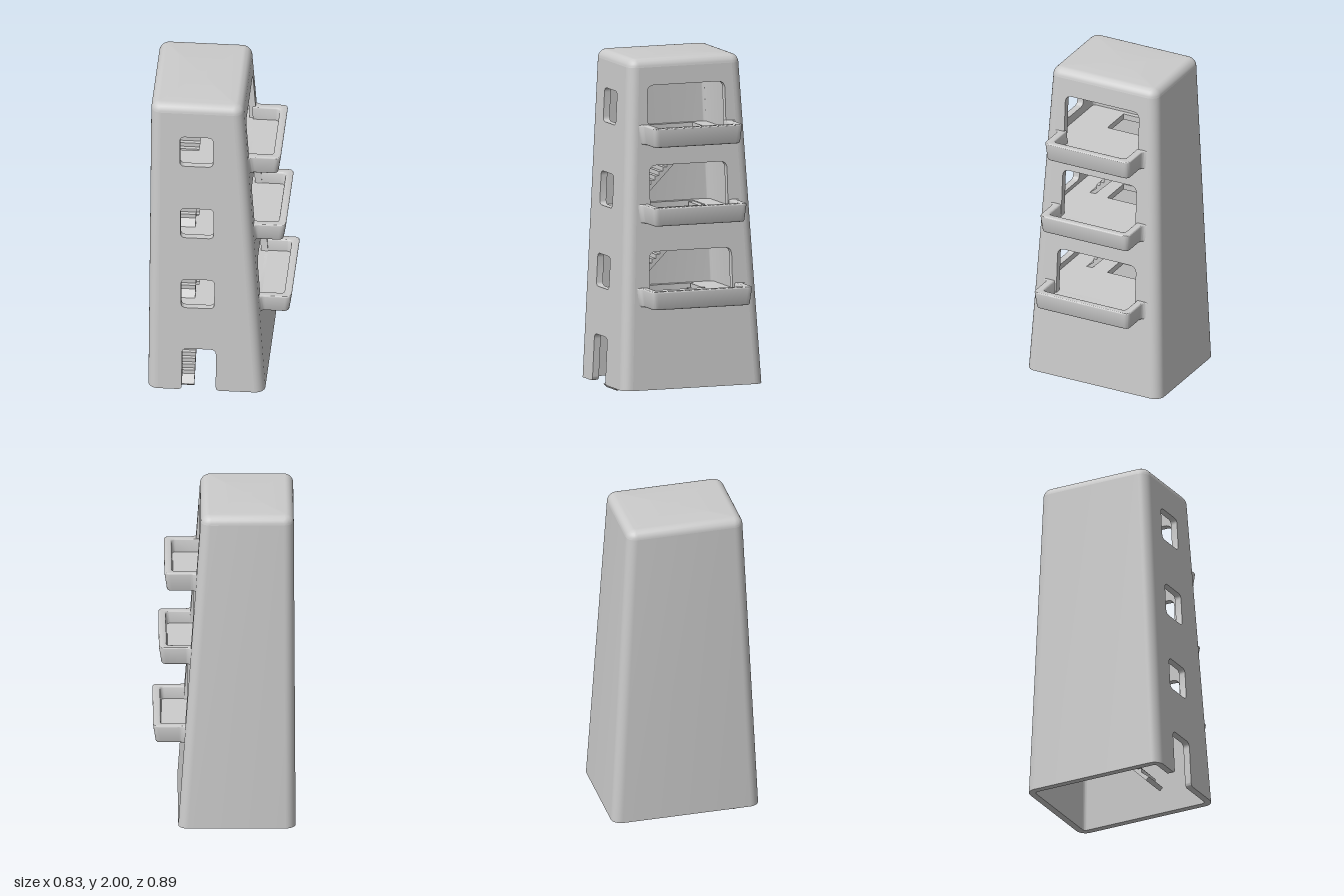
import * as THREE from 'three';
import { toCreasedNormals } from 'three/addons/utils/BufferGeometryUtils.js';

const Y0 = 0.06, Y1 = 1.95, FILLET = 0.05, R = 0.06, T = 0.04;
const mat = new THREE.MeshStandardMaterial({ color: 0xcccccc });

// Tapered wall positions at height y
const rise = y => (y - Y0) / (2 - Y0);
const xRight = y => 0.267 - 0.135 * rise(y);
const xLeft = y => -0.42 + 0.01 * rise(y);
const zFront = y => 0.445 - 0.095 * rise(y);

function add(parent, name, geo, crease = 0.6) {
  const mesh = new THREE.Mesh(toCreasedNormals(geo, crease), mat);
  mesh.name = name;
  parent.add(mesh);
  return mesh;
}

// Moves every vertex by a rule
function remap(geo, rule) {
  const p = geo.attributes.position;
  for (let i = 0; i < p.count; i++) p.setXYZ(i, ...rule(p.getX(i), p.getY(i), p.getZ(i)));
  geo.computeVertexNormals();
  return geo;
}

// Corner arcs of the plan: 0 front right, 1 back right, 2 back left, 3 front left
function ring(y, inset, corners) {
  const pts = [];
  for (const k of corners) {
    const cx = k < 2 ? xRight(y) - R : xLeft(y) + R;
    const cz = (k === 0 || k === 3 ? 1 : -1) * (zFront(y) - R);
    for (let i = 0; i <= 8; i++) {
      const a = Math.PI / 2 * (1 - k - i / 8);
      pts.push([cx + (R - inset) * Math.cos(a), y, cz + (R - inset) * Math.sin(a)]);
    }
  }
  if (corners.length === 4) pts.push(pts[0]);
  return pts;
}

// Skin over equal-length rows of points
function skin(rows) {
  const n = rows[0].length, index = [];
  for (let i = 0; i < rows.length - 1; i++) {
    for (let j = 0; j < n - 1; j++) {
      const a = i * n + j, b = a + n;
      index.push(a, a + 1, b + 1, a, b + 1, b);
    }
  }
  const geo = new THREE.BufferGeometry();
  geo.setAttribute('position', new THREE.Float32BufferAttribute(rows.flat(2), 3));
  geo.setIndex(index);
  geo.computeVertexNormals();
  return geo;
}

// Window outline with separate top and bottom corner radii
function windowHole(x0, x1, y0, y1, rt, rb) {
  const p = new THREE.Path();
  p.moveTo(x0 + rb, y0).lineTo(x1 - rb, y0).quadraticCurveTo(x1, y0, x1, y0 + rb);
  p.lineTo(x1, y1 - rt).quadraticCurveTo(x1, y1, x1 - rt, y1);
  p.lineTo(x0 + rt, y1).quadraticCurveTo(x0, y1, x0, y1 - rt);
  p.lineTo(x0, y0 + rb).quadraticCurveTo(x0, y0, x0 + rb, y0);
  return p;
}

const extrude = (shape, depth) =>
  new THREE.ExtrudeGeometry(shape, { depth, bevelEnabled: false, curveSegments: 6 });

const levels = [
  { y: 0.55, top: 0.66, half: 0.318, winTop: 0.87, winHalf: 0.26 },
  { y: 1.04, top: 1.15, half: 0.297, winTop: 1.375, winHalf: 0.245 },
  { y: 1.50, top: 1.615, half: 0.282, winTop: 1.845, winHalf: 0.245 },
];
const FLOOR = 0.035;

function buildShell(group) {
  // Rounded corners, with the plain back and left walls between them
  const strip = c => skin([ring(Y1, T, c), ring(Y0, T, c), ring(Y0, 0, c), ring(Y1, 0, c)]);
  add(group, 'frontRightCorner', strip([0]));
  add(group, 'backAndLeftWalls', strip([1, 2, 3]));

  // Rounded roof and flat ceiling
  const all = [0, 1, 2, 3], roof = [];
  for (let i = 0; i <= 8; i++) {
    const a = Math.PI / 2 * i / 8;
    roof.push(ring(Y1 + FILLET * Math.sin(a), FILLET * (1 - Math.cos(a)), all));
  }
  const centre = y => roof[0].map(() => [-0.14, y, 0]);
  add(group, 'roof', skin([...roof, centre(2)]));
  add(group, 'ceiling', skin([centre(Y1), ring(Y1, T, all)]));

  // Front wall with doorway and three windows
  const front = new THREE.Shape();
  front.moveTo(xLeft(Y0) + R, Y0).lineTo(-0.245, Y0);
  front.quadraticCurveTo(-0.22, Y0, -0.22, Y0 + 0.025).lineTo(-0.22, 0.305);
  front.quadraticCurveTo(-0.22, 0.34, -0.185, 0.34).lineTo(-0.055, 0.34);
  front.quadraticCurveTo(-0.02, 0.34, -0.02, 0.305).lineTo(-0.02, Y0 + 0.025);
  front.quadraticCurveTo(-0.02, Y0, 0.005, Y0).lineTo(xRight(Y0) - R, Y0);
  front.lineTo(xRight(Y1) - R, Y1).lineTo(xLeft(Y1) + R, Y1);
  [[-0.226, 0.62, 0.815], [-0.232, 1.10, 1.30], [-0.237, 1.59, 1.79]].forEach(([x, a, b]) =>
    front.holes.push(windowHole(x, x + 0.195, a, b, 0.03, 0.03)));
  add(group, 'frontWall', remap(extrude(front, T), (x, y, w) => [x, y, zFront(y) - T + w]));

  // Right wall with an opening onto each balcony
  const zb = zFront(Y0) - R, zt = zFront(Y1) - R;
  const right = new THREE.Shape();
  right.moveTo(-zb, Y0).lineTo(zb, Y0).lineTo(zt, Y1).lineTo(-zt, Y1);
  for (const l of levels)
    right.holes.push(windowHole(-l.winHalf, l.winHalf, l.y + FLOOR, l.winTop, 0.045, 0.005));
  add(group, 'rightWall', remap(extrude(right, T), (u, y, w) => [xRight(y) - T + w, y, -u]));
}

function buildBalcony(group, l) {
  const A = 0.19, W = l.half, t = 0.045, c = 0.035, h = l.top - l.y, bevel = 0.008;
  // Follows the leaning wall and narrows towards the bottom
  const place = (a, b, w) => {
    const y = l.y + w, s = w / h;
    return [xRight(y) + (a > 0 ? a * (0.87 + 0.13 * s) : a), y, -b * (0.965 + 0.035 * s)];
  };

  // U-shaped parapet flaring into the wall
  const u = new THREE.Shape();
  u.moveTo(-0.02, -W - 0.025).lineTo(0, -W - 0.025).quadraticCurveTo(0.005, -W, 0.035, -W);
  u.lineTo(A - c, -W).quadraticCurveTo(A, -W, A, -W + c);
  u.lineTo(A, W - c).quadraticCurveTo(A, W, A - c, W);
  u.lineTo(0.035, W).quadraticCurveTo(0.005, W, 0, W + 0.025).lineTo(-0.02, W + 0.025);
  const i = W - t, o = A - t;
  u.lineTo(-0.02, i).lineTo(o - 0.025, i).quadraticCurveTo(o, i, o, i - 0.025);
  u.lineTo(o, -i + 0.025).quadraticCurveTo(o, -i, o - 0.025, -i).lineTo(-0.02, -i);
  const rail = new THREE.ExtrudeGeometry(u, {
    depth: h - 2 * bevel, bevelThickness: bevel, bevelSize: bevel, bevelOffset: -bevel,
    bevelSegments: 3, curveSegments: 6,
  });
  rail.translate(0, 0, bevel);
  add(group, 'balconyParapet', remap(rail, place));

  // Balcony floor
  const f = new THREE.Shape();
  f.moveTo(-0.03, -W + 0.02).lineTo(A - 0.02, -W + 0.02);
  f.lineTo(A - 0.02, W - 0.02).lineTo(-0.03, W - 0.02);
  add(group, 'balconyFloor', remap(extrude(f, FLOOR), place));

  // Room floor with a stairwell opening
  const x0 = xLeft(l.y) + 0.02, x1 = xRight(l.y) - 0.02, z = zFront(l.y) - 0.02;
  const room = new THREE.Shape();
  room.moveTo(x0, -z).lineTo(x1, -z).lineTo(x1, z).lineTo(x0, z);
  room.holes.push(windowHole(-0.345, -0.145, -0.12, 0.24, 0.005, 0.005));
  add(group, 'roomFloor', remap(extrude(room, FLOOR), (x, b, w) => [x, l.y + w, -b]));
}

// Stair flight at 45 degrees: smooth underside, small steps on top
function buildStairs(group, base, sum, top) {
  const s = 0.025, first = base + 0.06, n = Math.floor((top - first) / s);
  const pt = (z, y) => new THREE.Vector2(-z, y);
  const end = first + n * s;
  const pts = [pt(sum - base, base), pt(sum - end, end)];
  for (let i = n; i > 0; i--) {
    const y = first + i * s;
    pts.push(pt(sum + 0.03 - y, y), pt(sum + 0.03 - y + s, y));
  }
  pts.push(pt(sum + 0.03 - first, first), pt(sum + 0.02 - base, base + 0.02));
  const geo = extrude(new THREE.Shape(pts), 0.172);
  add(group, 'stairFlight', remap(geo, (u, y, w) => [-0.328 + w, y, -u]), 0.3);
}

export function createModel() {
  const model = new THREE.Group();
  model.name = 'tower';
  const shell = new THREE.Group();
  shell.name = 'shell';
  buildShell(shell);
  model.add(shell);

  levels.forEach((l, i) => {
    const storey = new THREE.Group();
    storey.name = 'storey' + (i + 1);
    buildBalcony(storey, l);
    buildStairs(storey, i ? levels[i - 1].y + 0.01 : 0, [0.31, 0.81, 1.28][i], l.y + FLOOR);
    model.add(storey);
  });
  return model;
}
